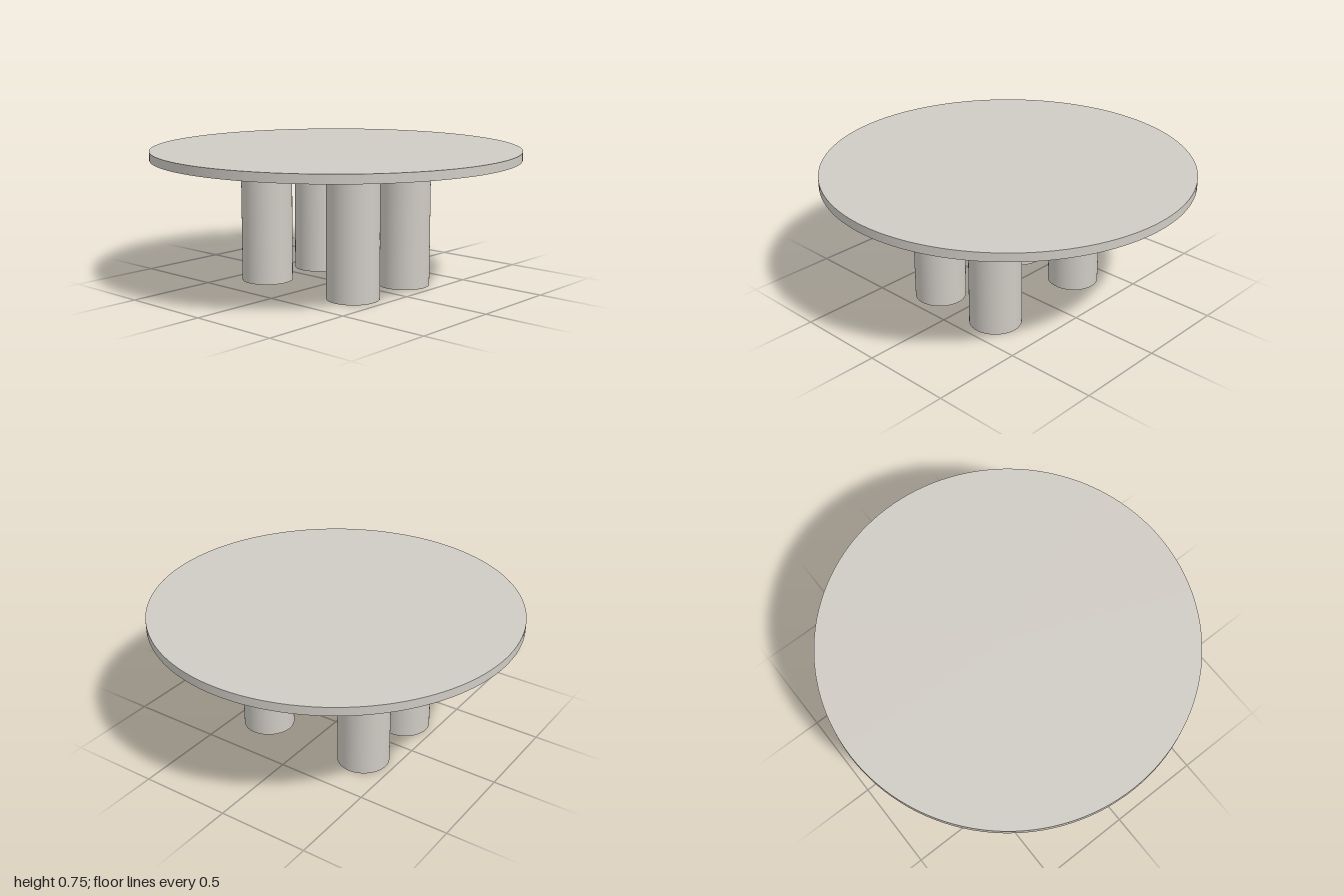
import * as THREE from 'three';

export function createModel() {
  const model = new THREE.Group();
  model.name = 'roundTable';

  const stone = new THREE.MeshStandardMaterial({ color: 0xcfcbc4 });
  stone.name = 'warm grey';

  // Upright cylinder standing on height y
  function addCylinder(name, radius, height, x, y, z, segments) {
    const mesh = new THREE.Mesh(new THREE.CylinderGeometry(radius, radius, height, segments), stone);
    mesh.name = name;
    mesh.position.set(x, y + height / 2, z);
    model.add(mesh);
  }

  const legHeight = 0.698;

  // Round top
  addCylinder('tableTop', 1, 0.047, 0, legHeight, 0, 128);

  // Four thick legs, set slightly off centre
  for (const [side, x] of [['Left', 0.315], ['Right', -0.32]]) {
    for (const [end, z] of [['front', 0.215], ['back', -0.205]]) {
      addCylinder(`${end}${side}Leg`, 0.14, legHeight, x, 0, z, 64);
    }
  }

  return model;
}
